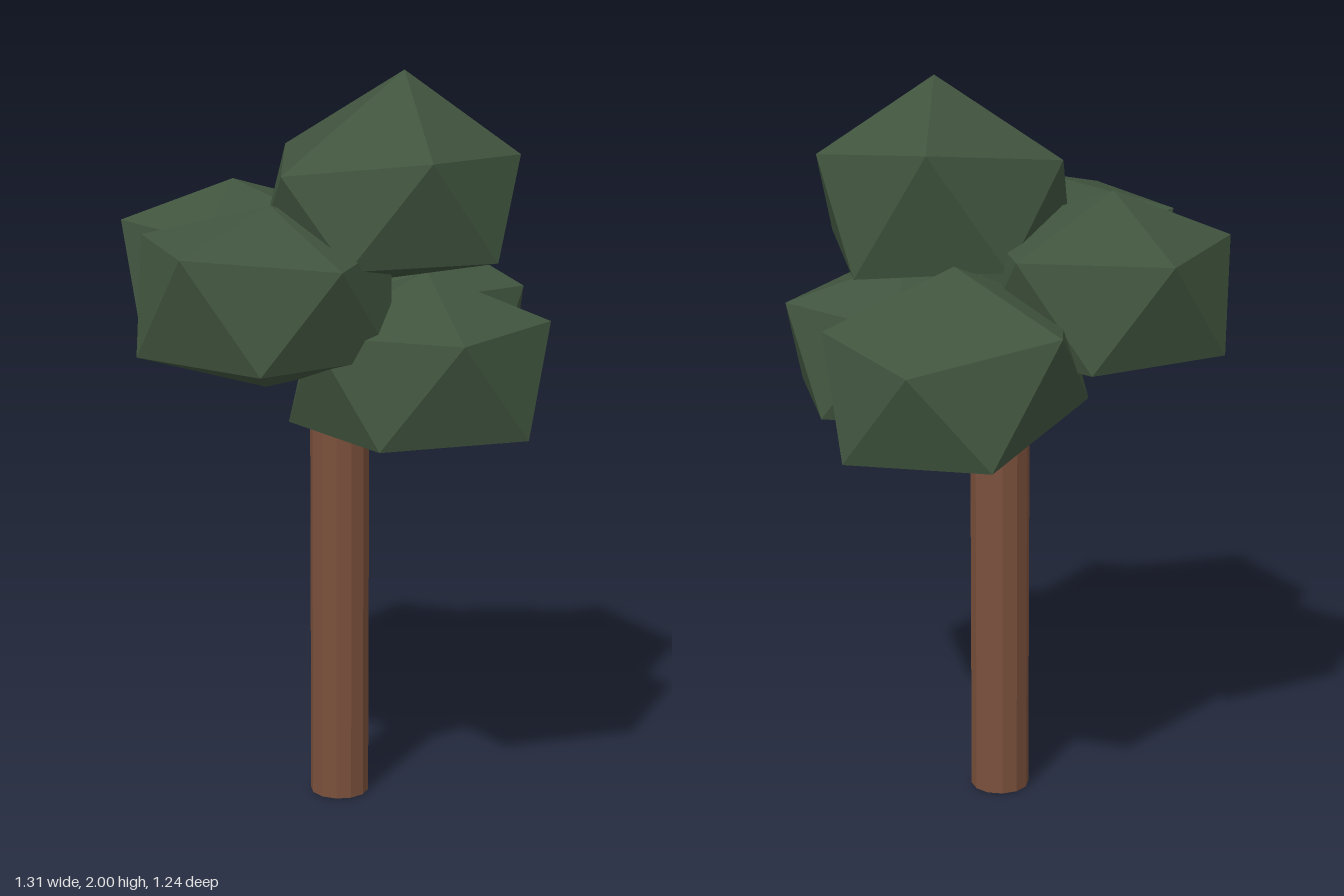
import * as THREE from 'three';

const bark = new THREE.MeshStandardMaterial({ color: 0x7a503c, flatShading: true });
const leaf = new THREE.MeshStandardMaterial({ color: 0x40543e, flatShading: true });

// Faceted leaf clump: two staggered five-sided rings closed by a top and a bottom point.
// "turn" is the angle in degrees of the first upper corner, from +x towards +z.
function clump(name, { x, z, turn, upper, lower, top, bottom, radius = 0.34 }) {
  const ring = (heights, offset) => heights.map((y, i) => {
    const a = THREE.MathUtils.degToRad(turn + offset + i * 72);
    return [x + radius * Math.cos(a), y, z + radius * Math.sin(a)];
  });
  const u = ring(upper, 0);
  const l = ring(lower, 36);
  const points = [];
  for (let i = 0; i < 5; i++) {
    const j = (i + 1) % 5;
    points.push(top, u[j], u[i]);
    points.push(u[i], u[j], l[i]);
    points.push(l[i], u[j], l[j]);
    points.push(bottom, l[i], l[j]);
  }
  const geometry = new THREE.BufferGeometry();
  geometry.setAttribute('position', new THREE.Float32BufferAttribute(points.flat(), 3));
  geometry.computeVertexNormals();
  const mesh = new THREE.Mesh(geometry, leaf);
  mesh.name = name;
  return mesh;
}

export function createModel() {
  const tree = new THREE.Group();
  tree.name = 'tree';

  // Trunk, running up into the leaves
  const trunk = new THREE.Mesh(new THREE.CylinderGeometry(0.08, 0.08, 1.25, 12), bark);
  trunk.position.y = 0.625;
  trunk.name = 'trunk';
  tree.add(trunk);

  // Crown
  const crown = new THREE.Group();
  crown.name = 'crown';
  crown.add(
    clump('topLeaves', {
      x: 0, z: 0.16, turn: -90,
      upper: [1.79, 1.84, 1.79, 1.81, 1.76], lower: [1.53, 1.5, 1.54, 1.54, 1.53],
      top: [0.08, 2, 0.15], bottom: [0, 1.46, 0.14],
    }),
    clump('frontLeaves', {
      x: -0.03, z: 0.28, turn: -90,
      upper: [1.37, 1.37, 1.37, 1.37, 1.37], lower: [1.1, 1.1, 1.1, 1.1, 1.1],
      top: [0.03, 1.49, 0.26], bottom: [-0.04, 1.03, 0.29],
    }),
    clump('backLeaves', {
      x: -0.04, z: -0.28, turn: 90,
      upper: [1.58, 1.58, 1.58, 1.58, 1.58], lower: [1.31, 1.31, 1.31, 1.31, 1.31],
      top: [-0.1, 1.7, -0.28], bottom: [-0.04, 1.24, -0.31],
    }),
    clump('leftLeaves', {
      x: 0.315, z: -0.02, turn: -5,
      upper: [1.36, 1.39, 1.4, 1.41, 1.43], lower: [1.1, 1.1, 1.15, 1.22, 1.12],
      top: [0.34, 1.57, -0.03], bottom: [0.3, 1.09, -0.02],
    }),
    clump('rightLeaves', {
      x: -0.32, z: 0, turn: 180,
      upper: [1.59, 1.59, 1.58, 1.57, 1.56], lower: [1.31, 1.31, 1.31, 1.31, 1.31],
      top: [-0.3, 1.68, 0], bottom: [-0.32, 1.21, 0],
    }),
  );
  tree.add(crown);
  return tree;
}
